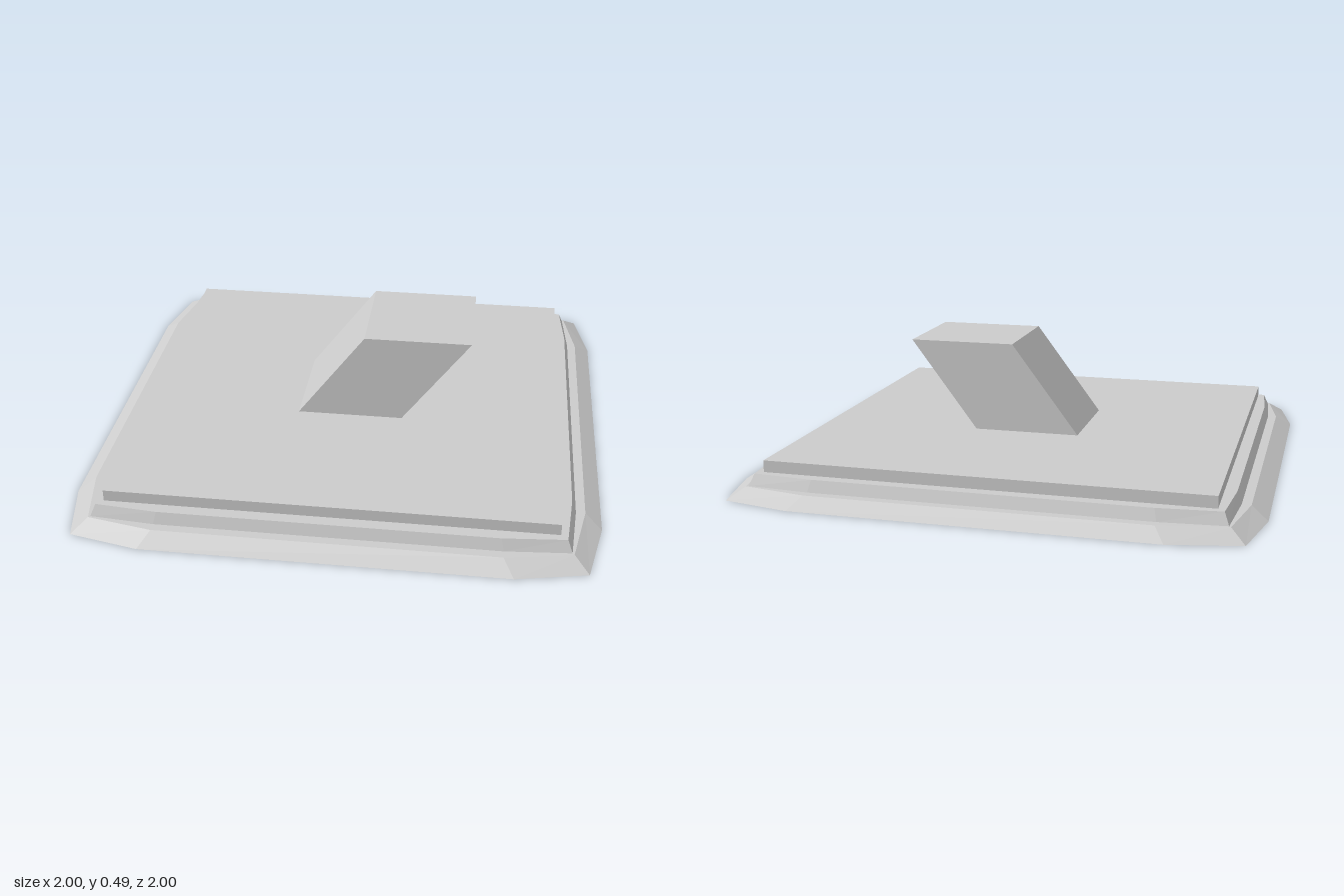
import * as THREE from 'three';

const material = new THREE.MeshStandardMaterial({ color: 0xcccccc, flatShading: true });

// Bowed square outline: side distance, corner distance, half length of the straight run
function outline(side, corner, run) {
  const points = [];
  for (let i = 0; i < 4; i++) {
    for (const [x, z] of [[-run, side], [run, side], [corner, corner]]) {
      const p = new THREE.Vector2(x, z).rotateAround(new THREE.Vector2(), -i * Math.PI / 2);
      points.push(p);
    }
  }
  return points;
}

// Closed solid through stacked outlines, listed from bottom to top
function loft(levels) {
  const position = [];
  const rings = levels.map(([y, side, corner, run]) =>
    outline(side, corner, run).map((p) => new THREE.Vector3(p.x, y, p.y)));
  const tri = (...corners) => corners.forEach((v) => position.push(v.x, v.y, v.z));
  const n = rings[0].length;
  const bottom = new THREE.Vector3(0, levels[0][0], 0);
  const top = new THREE.Vector3(0, levels[levels.length - 1][0], 0);
  for (let i = 0; i < n; i++) {
    const j = (i + 1) % n;
    for (let k = 0; k + 1 < rings.length; k++) {
      const a = rings[k], b = rings[k + 1];
      tri(a[i], a[j], b[j]);
      tri(a[i], b[j], b[i]);
    }
    tri(bottom, rings[0][j], rings[0][i]);
    tri(top, rings[rings.length - 1][i], rings[rings.length - 1][j]);
  }
  const geometry = new THREE.BufferGeometry();
  geometry.setAttribute('position', new THREE.Float32BufferAttribute(position, 3));
  geometry.computeVertexNormals();
  return geometry;
}

export function createModel() {
  const group = new THREE.Group();
  const add = (name, geometry) => {
    const mesh = new THREE.Mesh(geometry, material);
    mesh.name = name;
    group.add(mesh);
  };

  // Stepped base: sloping skirt, narrow ledge, second sloping step
  add('base', loft([
    [0, 1, 0.945, 0.68],
    [0.042, 0.937, 0.89, 0.64],
    [0.042, 0.902, 0.883, 0.64],
    [0.086, 0.885, 0.865, 0.63],
  ]));

  // Square plate on top
  add('topPlate', new THREE.BoxGeometry(1.68, 0.046, 1.68).translate(0, 0.108, 0));

  // Slanted lever: a box sheared towards +x
  const lever = new THREE.BoxGeometry(0.42, 0.356, 0.42).translate(0, 0.178, 0);
  lever.applyMatrix4(new THREE.Matrix4().makeShear(0, 0, 0.268 / 0.356, 0, 0, 0));
  const p = lever.attributes.position;
  if (Math.abs(p.getX(0) - 0.478) > 0.01) {
    throw new Error('lever sheared along the wrong axis');
  }
  lever.translate(0, 0.131, 0);
  lever.computeVertexNormals();
  add('lever', lever);

  return group;
}
